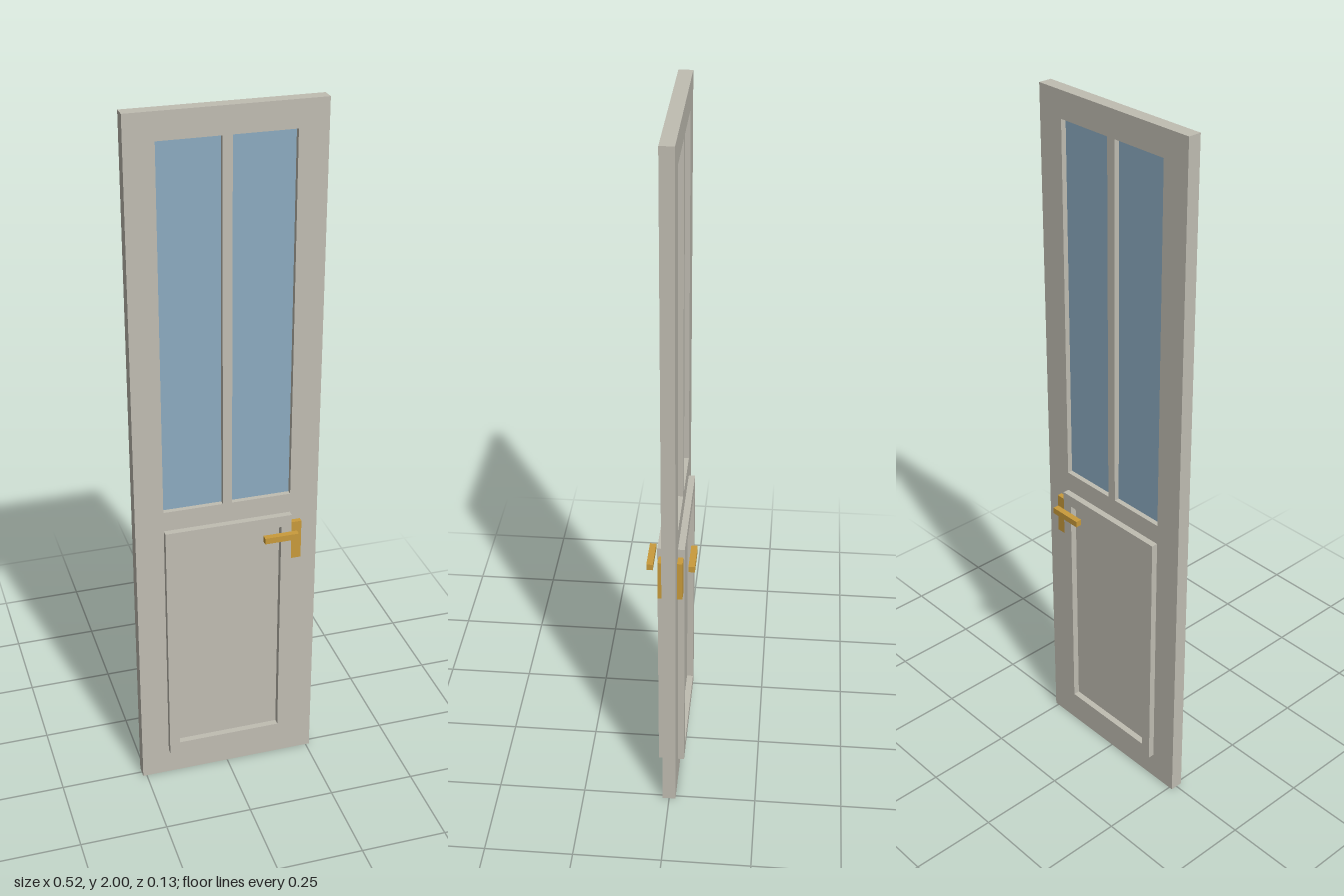
import * as THREE from 'three';

const material = (name, color) => {
  const m = new THREE.MeshStandardMaterial({ color });
  m.name = name;
  return m;
};

// Rectangle outline from its corner coordinates
const rect = (Type, x0, x1, y0, y1) => new Type([
  new THREE.Vector2(x0, y0), new THREE.Vector2(x1, y0),
  new THREE.Vector2(x1, y1), new THREE.Vector2(x0, y1),
]);

export function createModel() {
  const paint = material('warm grey paint', 0xc0bdb2);
  const glass = material('blue glass', 0x8cabc0);
  const brass = material('brass', 0xc99b3b);

  const door = new THREE.Group();
  door.name = 'door';

  const add = (name, geometry, mat) => {
    const mesh = new THREE.Mesh(geometry, mat);
    mesh.name = name;
    door.add(mesh);
    return mesh;
  };
  const box = (name, mat, x0, x1, y0, y1, z0, z1) =>
    add(name, new THREE.BoxGeometry(x1 - x0, y1 - y0, z1 - z0), mat)
      .position.set((x0 + x1) / 2, (y0 + y1) / 2, (z0 + z1) / 2);
  const plate = (name, shape, z0, z1) =>
    add(name, new THREE.ExtrudeGeometry(shape, { depth: z1 - z0, bevelEnabled: false }), paint)
      .position.z = z0;

  const T = 0.0187; // half thickness of the door leaf
  const windows = [[-0.181, -0.013], [0.013, 0.181]];

  // Door leaf with two tall window openings
  const leaf = rect(THREE.Shape, -0.261, 0.261, 0, 2);
  for (const [x0, x1] of windows) leaf.holes.push(rect(THREE.Path, x0, x1, 0.899, 1.927));
  plate('leaf', leaf, -T, T);

  // Recessed panes
  for (const [x0, x1] of windows) box('windowPane', glass, x0, x1, 0.899, 1.927, -0.004, 0.004);

  // Raised moulding around the lower panel, on both faces
  const moulding = rect(THREE.Shape, -0.181, 0.181, 0.082, 0.841);
  moulding.holes.push(rect(THREE.Path, -0.151, 0.151, 0.116, 0.807));
  plate('frontMoulding', moulding, T, 0.037);
  plate('backMoulding', moulding, -0.037, -T);

  // Lock plate and lever, on both faces
  for (const [side, s] of [['front', 1], ['back', -1]]) {
    const span = (a, b) => (s > 0 ? [a, b] : [-b, -a]);
    box(side + 'LockPlate', brass, 0.172, 0.211, 0.697, 0.815, ...span(T, 0.0335));
    box(side + 'Lever', brass, 0.095, 0.193, 0.777, 0.795, ...span(0.048, 0.0655));
  }

  return door;
}
